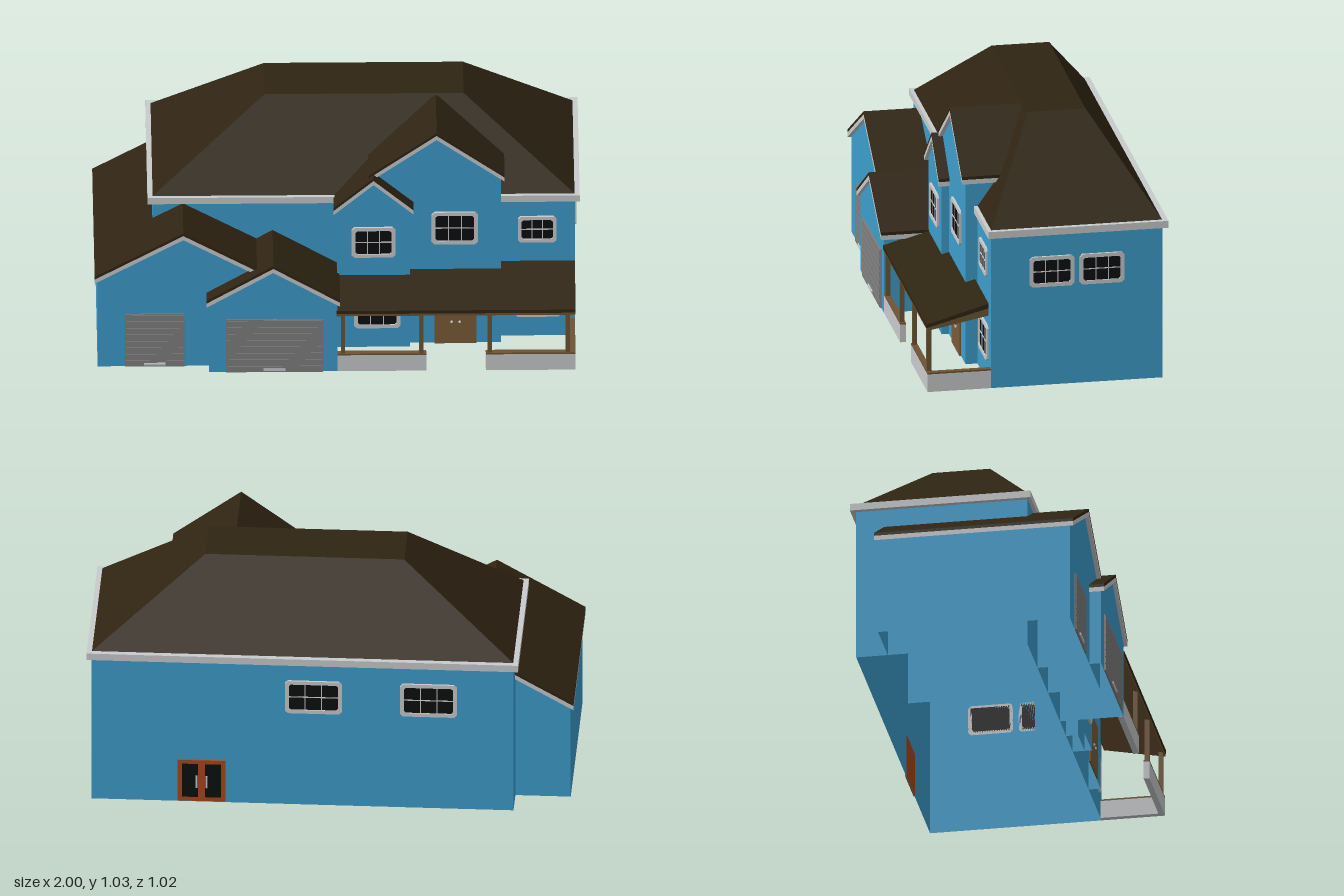
import * as THREE from 'three';
import { mergeGeometries } from 'three/addons/utils/BufferGeometryUtils.js';

const mat = (name, color, side = THREE.FrontSide) => {
  const m = new THREE.MeshStandardMaterial({ color, side });
  m.name = name;
  return m;
};

export function createModel() {
  const house = new THREE.Group();
  house.name = 'house';
  const wall = mat('blue siding', 0x3d9ecd, THREE.DoubleSide);
  const roof = mat('dark brown shingle', 0x2f2412);
  const trim = mat('light grey trim', 0xc9cccd);
  const glass = mat('black glass', 0x0c0e0f);
  const wood = mat('brown timber', 0x6e5433);
  const doorWood = mat('door brown', 0x7a5c38);
  const steel = mat('garage grey', 0x808080);
  const orange = mat('orange frame', 0xa8481a);

  const add = (name, geo, material, parent = house) => {
    const mesh = new THREE.Mesh(geo, material);
    mesh.name = name;
    parent.add(mesh);
    return mesh;
  };
  // Box given by its minimum and maximum on each axis
  const box = (name, material, x0, x1, y0, y1, z0, z1, parent) => add(name,
    new THREE.BoxGeometry(x1 - x0, y1 - y0, z1 - z0)
      .translate((x0 + x1) / 2, (y0 + y1) / 2, (z0 + z1) / 2), material, parent);
  const shapeOf = (pts) => new THREE.Shape(pts.map(([x, y]) => new THREE.Vector2(x, y)));
  const extrude = (shape, depth) => new THREE.ExtrudeGeometry(shape, { depth, bevelEnabled: false });
  const sideWall = (x, h, z0, z1, dir) => new THREE.PlaneGeometry(z1 - z0, h)
    .rotateY(dir * Math.PI / 2).translate(x, h / 2, (z0 + z1) / 2);

  // Main block: four walls open below, eaves board and hipped roof with a flat top
  const [L, R, B, F] = [-0.76, 0.98, -0.487, 0.23];
  const across = (z, turn) => new THREE.PlaneGeometry(R - L, 0.67)
    .rotateY(turn).translate((L + R) / 2, 0.335, z);
  add('mainWalls', mergeGeometries([
    across(F, 0), across(B, Math.PI), sideWall(L, 0.67, B, F, -1), sideWall(R, 0.67, B, F, 1),
  ]), wall);
  box('mainEaves', trim, -0.78, 1, 0.66, 0.69, -0.51, 0.245);
  const hip = new THREE.BoxGeometry(1, 1, 1);
  const p = hip.attributes.position;
  for (let i = 0; i < p.count; i++) {
    const right = p.getX(i) > 0, front = p.getZ(i) > 0;
    if (p.getY(i) > 0) p.setXYZ(i, right ? 0.525 : -0.295, 1.032, front ? -0.01 : -0.25);
    else p.setXYZ(i, right ? R : L, 0.689, front ? F : B);
  }
  hip.computeVertexNormals();
  add('mainRoof', hip, roof);

  // Gabled wing: open walls under a grey bargeboard layer and a shingle layer
  function gable(name, cx, half, ridge, eave, wallHalf, wz0, wz1, rz0, rz1, backWall) {
    const g = new THREE.Group();
    g.name = name;
    house.add(g);
    const top = ridge - 0.032;
    const side = top - (ridge - eave) * wallHalf / half;
    const face = () => new THREE.ShapeGeometry(shapeOf(
      [[-wallHalf, 0], [wallHalf, 0], [wallHalf, side], [0, top], [-wallHalf, side]]));
    const parts = [
      face().translate(cx, 0, wz1),
      sideWall(cx - wallHalf, side, wz0, wz1, -1),
      sideWall(cx + wallHalf, side, wz0, wz1, 1),
    ];
    if (backWall) parts.push(face().rotateY(Math.PI).translate(cx, 0, wz0));
    add(name + 'Walls', mergeGeometries(parts), wall, g);
    const chevron = (drop, t) => extrude(shapeOf([
      [-half, eave - drop - t], [0, ridge - drop - t], [half, eave - drop - t],
      [half, eave - drop], [0, ridge - drop], [-half, eave - drop],
    ]), rz1 - rz0).translate(cx, 0, rz0);
    add(name + 'Bargeboard', chevron(0.013, 0.02), trim, g);
    add(name + 'Roof', chevron(0, 0.013), roof, g);
  }
  gable('tallBay', 0.41, 0.28, 1.03, 0.825, 0.265, 0.1, 0.28, 0, 0.297);
  gable('smallBay', 0.15, 0.165, 0.83, 0.685, 0.15, 0.2, 0.31, 0.12, 0.325);
  gable('sideGarage', -0.635, 0.365, 0.655, 0.446, 0.353, -0.355, 0.447, -0.37, 0.463, true);
  gable('frontGarage', -0.265, 0.275, 0.522, 0.355, 0.264, 0.23, 0.496, 0.23, 0.51);

  // Windows: cut-corner frame, dark pane, thin glazing bars in a 3 x 2 grid
  const cutRect = (w, h, c) => [[-w + c, -h], [w - c, -h], [w, -h + c], [w, h - c],
    [w - c, h], [-w + c, h], [-w, h - c], [-w, -h + c]];
  function makeWindow(name, w, h, x, y, z, turn = 0) {
    const g = new THREE.Group();
    g.name = name;
    const frame = shapeOf(cutRect(w / 2, h / 2, 0.012));
    frame.holes.push(shapeOf(cutRect(w / 2 - 0.016, h / 2 - 0.016, 0.008)));
    add('windowFrame', extrude(frame, 0.009), trim, g);
    box('windowPane', glass, -w / 2 + 0.01, w / 2 - 0.01, -h / 2 + 0.01, h / 2 - 0.01, 0, 0.004, g);
    for (const s of [-1, 1]) {
      const bx = s * (w - 0.03) / 6;
      box('glazingBar', trim, bx - 0.002, bx + 0.002, -h / 2 + 0.012, h / 2 - 0.012, 0.003, 0.006, g);
    }
    box('glazingBar', trim, -w / 2 + 0.012, w / 2 - 0.012, -0.002, 0.002, 0.003, 0.0065, g);
    g.position.set(x, y, z);
    g.rotation.y = turn;
    house.add(g);
  }
  makeWindow('smallBayUpperWindow', 0.18, 0.145, 0.15, 0.512, 0.31);
  makeWindow('smallBayLowerWindow', 0.19, 0.155, 0.165, 0.173, 0.31);
  makeWindow('tallBayWindow', 0.19, 0.155, 0.485, 0.56, 0.28);
  makeWindow('frontUpperWindow', 0.16, 0.125, 0.825, 0.52, F);
  makeWindow('frontLowerWindow', 0.19, 0.155, 0.828, 0.173, F);
  for (const z of [-0.024, -0.234]) makeWindow('sideWindow', 0.188, 0.132, R, 0.497, z, Math.PI / 2);
  for (const x of [0.065, -0.41]) makeWindow('backWindow', 0.235, 0.15, x, 0.505, B, Math.PI);

  // Garage doors made of slats, with a pull handle
  for (const [x0, x1, z] of [[-0.875, -0.63, 0.447], [-0.46, -0.06, 0.496]]) {
    const g = new THREE.Group();
    g.name = 'garageDoor';
    house.add(g);
    box('doorPanel', steel, x0, x1, 0, 0.255, z, z + 0.004, g);
    for (let i = 0; i < 8; i++) {
      const y = 0.002 + i * 0.0315;
      box('doorSlat', steel, x0 + 0.004, x1 - 0.004, y, y + 0.028, z + 0.003, z + 0.007, g);
    }
    const c = (x0 + x1) / 2;
    box('doorHandle', trim, c - 0.045, c + 0.045, 0.01, 0.02, z + 0.006, z + 0.012, g);
  }

  // Front double door
  add('frontDoor', extrude(shapeOf([[0.402, 0], [0.575, 0], [0.575, 0.222], [0.567, 0.23],
    [0.41, 0.23], [0.402, 0.222]]), 0.007), doorWood).position.z = 0.28;
  for (const x of [0.472, 0.505]) {
    add('doorKnob', new THREE.SphereGeometry(0.006, 10, 8), trim).position.set(x, 0.105, 0.289);
  }

  // Back double glass door
  box('backDoorFrame', orange, 0.428, 0.625, 0.005, 0.195, B - 0.006, B);
  for (const s of [-1, 1]) {
    const c = 0.5265 + s * 0.047;
    box('backDoorPane', glass, c - 0.033, c + 0.033, 0.025, 0.178, B - 0.009, B - 0.005);
    const hx = 0.5265 + s * 0.02;
    box('backDoorHandle', trim, hx - 0.004, hx + 0.004, 0.07, 0.125, B - 0.014, B - 0.008);
  }

  // Porch: sloped roof on timber, posts and low walls with timber caps
  const slope = (pts) => extrude(shapeOf(pts), 0.985).rotateY(-Math.PI / 2).translate(0.98, 0, 0);
  add('porchRoof', slope([[0.24, 0.35], [0.5, 0.28], [0.5, 0.295], [0.24, 0.37]]), roof);
  add('porchRoofTimber', slope([[0.24, 0.318], [0.497, 0.268], [0.497, 0.281], [0.24, 0.351]]), wood);
  for (const x of [0.022, 0.345, 0.626, 0.948]) {
    box('porchPost', wood, x - 0.009, x + 0.009, 0.08, 0.29, 0.475, 0.494);
  }
  for (const [x0, x1, z0, z1] of [[0, 0.365, 0.472, 0.496], [0.61, 0.98, 0.472, 0.496], [0.956, 0.98, F, 0.472]]) {
    box('porchWall', trim, x0, x1, 0, 0.077, z0, z1);
    box('porchWallCap', wood, x0, x1, 0.077, 0.084, z0, z1);
  }
  return house;
}
